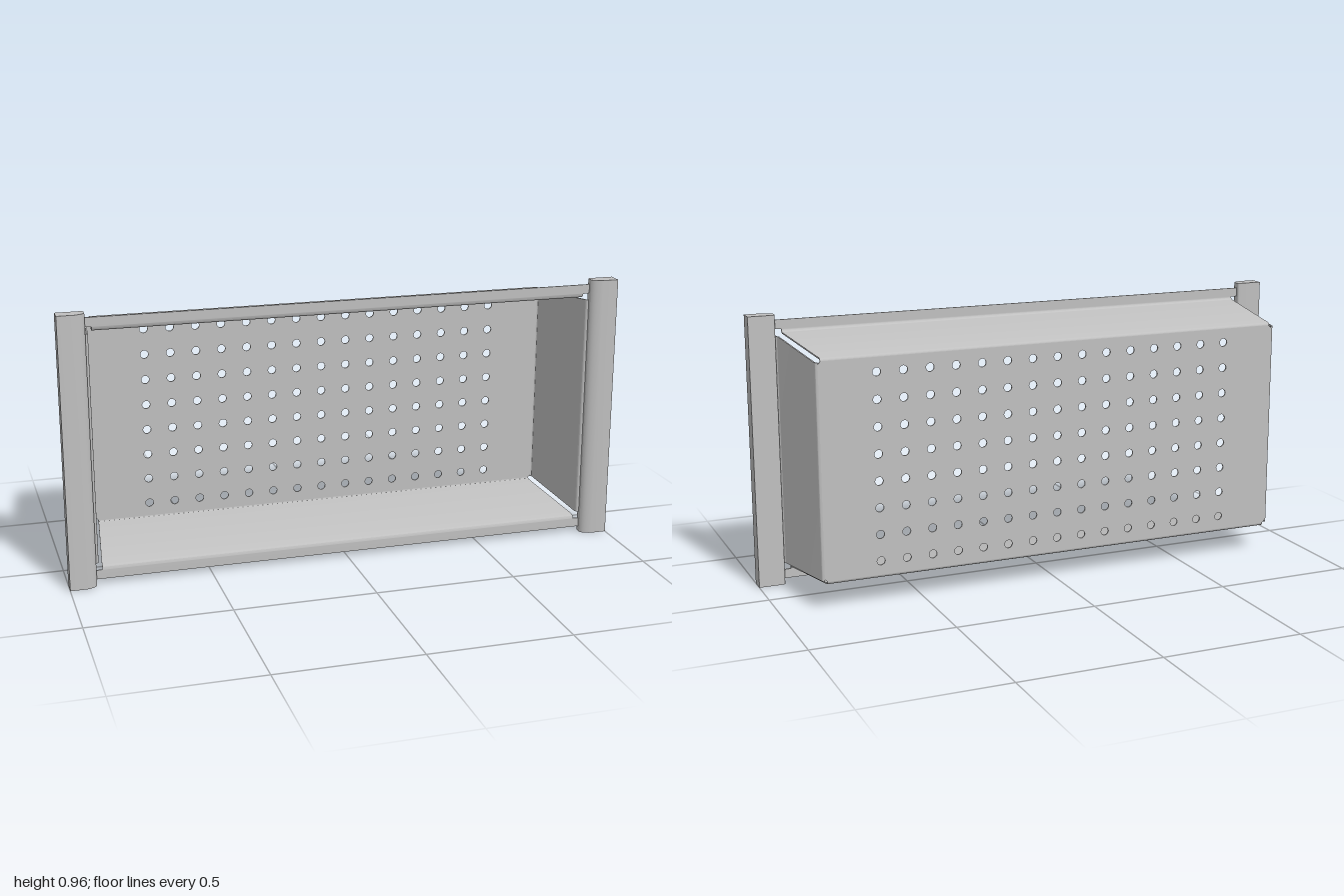
import * as THREE from 'three';
import { toCreasedNormals } from 'three/addons/utils/BufferGeometryUtils.js';

const HEIGHT = 0.963, MID = HEIGHT / 2;
const BACK = -0.19, RIM = 0.15, SHEET = 0.005, BEND = 0.01;

// Folded sheet: bend off the back panel, sloping wall, bend and rim flange.
// Built for the upper side (y outward, x across) and turned into place.
function foldedWall({ back, front, edge, wBack, wFront, wRim }) {
  const path = [];                                   // [outward, z, half width]
  const steps = 5;
  for (let i = 0; i <= steps; i++) {
    const a = (i / steps) * Math.PI / 2;
    path.push([back - BEND + BEND * Math.sin(a), BACK + BEND - BEND * Math.cos(a), wBack]);
  }
  for (let i = 0; i <= steps; i++) {
    const a = (i / steps) * Math.PI / 2;
    path.push([front + BEND - BEND * Math.cos(a), RIM - BEND + BEND * Math.sin(a), wFront]);
  }
  path.push([front + BEND + 0.001, RIM, wRim], [edge, RIM, wRim]);

  const rings = path.map(([o, z, w], i) => {
    const p = path[Math.max(i - 1, 0)], n = path[Math.min(i + 1, path.length - 1)];
    const len = Math.hypot(n[0] - p[0], n[1] - p[1]);
    const io = o - (n[1] - p[1]) / len * SHEET;
    const iz = z + (n[0] - p[0]) / len * SHEET;
    return [[-w, o, z], [w, o, z], [w, io, iz], [-w, io, iz]];
  });
  const pos = [];
  const quad = (a, b, c, d) => [a, b, c, a, c, d].forEach(v => pos.push(...v));
  for (let i = 0; i < rings.length - 1; i++) {
    for (let j = 0; j < 4; j++) {
      const k = (j + 1) % 4;
      quad(rings[i][j], rings[i + 1][j], rings[i + 1][k], rings[i][k]);
    }
  }
  const first = rings[0], last = rings[rings.length - 1];
  quad(first[0], first[1], first[2], first[3]);
  quad(last[0], last[3], last[2], last[1]);

  const geo = new THREE.BufferGeometry();
  geo.setAttribute('position', new THREE.Float32BufferAttribute(pos, 3));
  return toCreasedNormals(geo, 0.5);
}

// Back sheet with clipped corners and a grid of round holes
function perforatedPanel(hx, hy) {
  const c = 0.01, shape = new THREE.Shape();
  shape.setFromPoints([
    [hx - c, -hy], [hx, c - hy], [hx, hy - c], [hx - c, hy],
    [c - hx, hy], [-hx, hy - c], [-hx, c - hy], [c - hx, -hy],
  ].map(p => new THREE.Vector2(...p)));
  const pitch = 0.0935;
  for (let col = -7; col <= 7; col++) {
    for (let row = -3.5; row <= 3.5; row++) {
      const hole = new THREE.Path();
      hole.absarc(col * pitch, row * pitch, 0.0145, 0, Math.PI * 2, true);
      shape.holes.push(hole);
    }
  }
  return new THREE.ExtrudeGeometry(shape, { depth: SHEET, bevelEnabled: false, curveSegments: 8 });
}

// Upright bar, square outside and eased on the inner edge
function uprightBar(side) {
  const s = new THREE.Shape();
  s.moveTo(side, -0.19);
  s.lineTo(side, -0.137);
  s.lineTo(side * 0.917, -0.137);
  s.quadraticCurveTo(side * 0.905, -0.137, side * 0.905, -0.147);
  s.lineTo(side * 0.905, -0.168);
  s.quadraticCurveTo(side * 0.912, -0.184, side * 0.942, -0.19);
  s.closePath();
  const geo = new THREE.ExtrudeGeometry(s, { depth: HEIGHT, bevelEnabled: false, curveSegments: 6 });
  geo.rotateX(-Math.PI / 2);
  return toCreasedNormals(geo, 0.5);
}

export function createModel() {
  const model = new THREE.Group();
  model.name = 'perforatedTray';
  const steel = new THREE.MeshStandardMaterial({ color: 0xc0c0c0 });
  steel.name = 'steelGrey';
  const add = (name, geo, y = 0, z = 0, turn = 0) => {
    const mesh = new THREE.Mesh(geo, steel);
    mesh.name = name;
    mesh.position.set(0, y, z);
    mesh.rotation.z = turn;
    model.add(mesh);
  };

  // Tray
  add('backPanel', perforatedPanel(0.853, 0.377), MID, BACK);
  const long = foldedWall({ back: 0.387, front: 0.42, edge: 0.463, wBack: 0.845, wFront: 0.882, wRim: 0.91 });
  const short = foldedWall({ back: 0.863, front: 0.898, edge: 0.935, wBack: 0.373, wFront: 0.406, wRim: 0.406 });
  add('topWall', long, MID);
  add('bottomWall', long, MID, 0, Math.PI);
  add('leftWall', short, MID, 0, -Math.PI / 2);
  add('rightWall', short, MID, 0, Math.PI / 2);

  // Side bars
  add('leftBar', uprightBar(1));
  add('rightBar', uprightBar(-1));
  return model;
}
